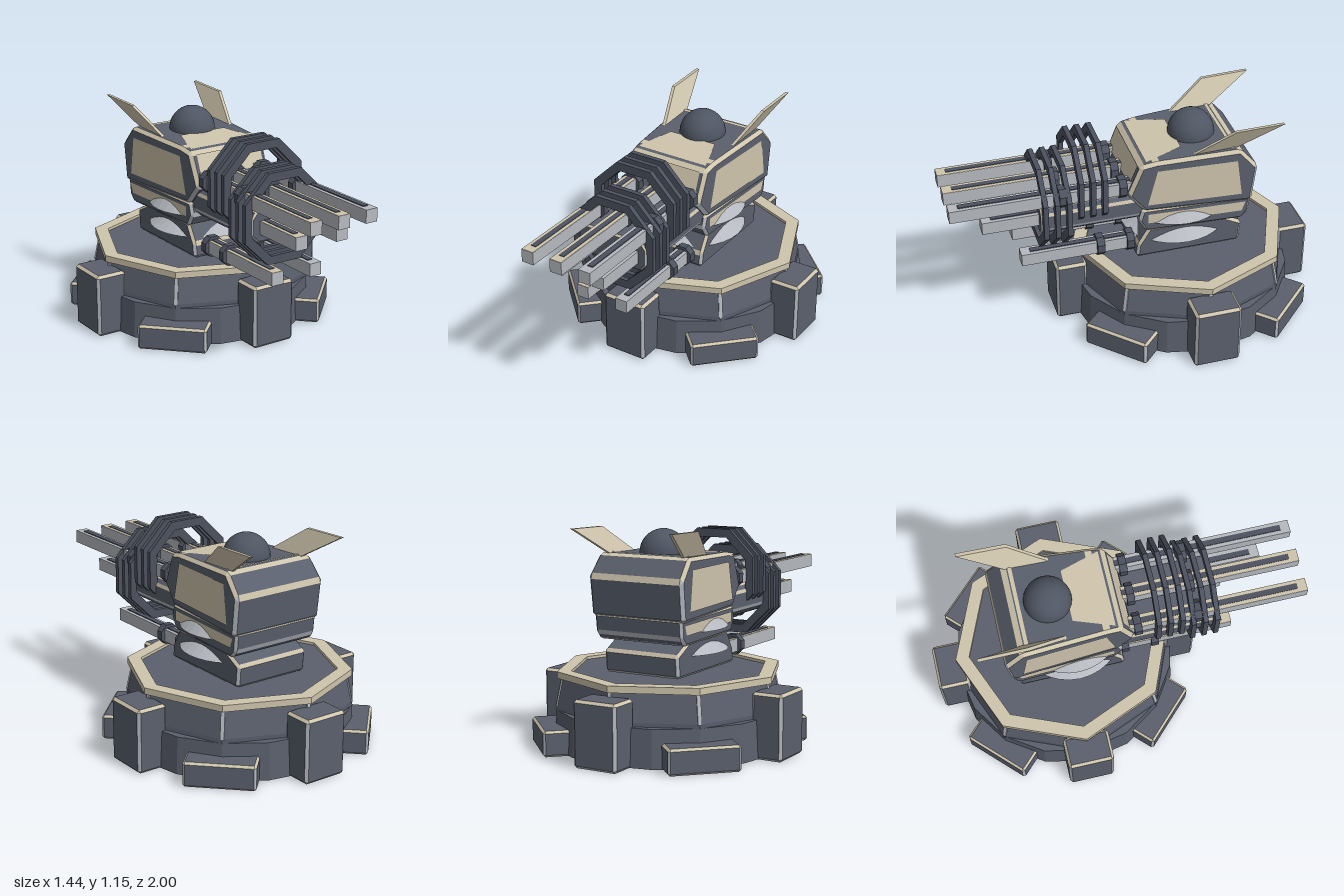
import * as THREE from 'three';

const std = (name, color, side = THREE.FrontSide) => {
  const m = new THREE.MeshStandardMaterial({ color, side });
  m.name = name;
  m.flatShading = true;
  return m;
};

export function createModel() {
  const slate = std('slate armour', 0x5a606d);
  const gunmetal = std('gunmetal', 0x4c525f);
  const sand = std('sand trim', 0xcfc5ad, THREE.DoubleSide);
  const steel = std('light steel', 0xb6bac0);
  const model = new THREE.Group();
  model.name = 'gunTurret';

  const add = (name, geo, mat, x = 0, y = 0, z = 0, parent = model) => {
    const m = new THREE.Mesh(geo, mat);
    m.name = name;
    m.position.set(x, y, z);
    parent.add(m);
    return m;
  };
  const box = (name, w, h, d, mat, x, y, z, parent) =>
    add(name, new THREE.BoxGeometry(w, h, d), mat, x, y, z, parent);

  // Convex profile (counter-clockwise) extruded along z to +-half(u); bevels get trim materials
  function bevelled(profile, half, b) {
    const n = profile.length;
    const buckets = [[], [], []];
    const P = profile.map(p => new THREE.Vector2(...p));
    const rim = [], cap = [];
    P.forEach((p, i) => {
      const toPrev = P[(i + n - 1) % n].clone().sub(p).normalize();
      const toNext = P[(i + 1) % n].clone().sub(p).normalize();
      rim.push(p.clone().addScaledVector(toPrev, b), p.clone().addScaledVector(toNext, b));
      const bis = toPrev.clone().add(toNext).normalize();
      const sin = Math.sqrt((1 - toPrev.dot(toNext)) / 2);
      cap.push(p.clone().addScaledVector(bis, b / sin));
    });
    const v = (p, s, inset) => new THREE.Vector3(p.x, p.y, s * (half(p.x) - inset));
    const face = (pts, trim, flip) => {
      if (flip) pts.reverse();
      const normal = pts[1].clone().sub(pts[0]).cross(pts[2].clone().sub(pts[0])).normalize();
      const k = trim ? (normal.y > 0.25 ? 1 : 2) : 0;
      for (let i = 1; i < pts.length - 1; i++)
        for (const q of [pts[0], pts[i], pts[i + 1]]) buckets[k].push(q.x, q.y, q.z);
    };
    for (const s of [1, -1]) {
      face(cap.map(p => v(p, s, 0)), false, s < 0);
      for (let i = 0; i < n; i++) {
        const j = (i + 1) % n;
        const a = rim[2 * i], c = rim[2 * i + 1], d = rim[2 * j];
        face([v(a, s, b), v(c, s, b), v(cap[i], s, 0)], true, s < 0);
        face([v(c, s, b), v(d, s, b), v(cap[j], s, 0), v(cap[i], s, 0)], true, s < 0);
      }
    }
    for (let i = 0; i < 2 * n; i++) {
      const a = rim[i], c = rim[(i + 1) % (2 * n)];
      face([v(a, -1, b), v(c, -1, b), v(c, 1, b), v(a, 1, b)], i % 2 === 0, false);
    }
    const g = new THREE.BufferGeometry();
    let start = 0;
    buckets.forEach((list, k) => { g.addGroup(start, list.length / 3, k); start += list.length / 3; });
    g.setAttribute('position', new THREE.Float32BufferAttribute(buckets.flat(), 3));
    g.computeVertexNormals();
    return g;
  }
  const trimmed = [slate, sand, steel];
  const rect = (w, h) => [[-w / 2, 0], [w / 2, 0], [w / 2, h], [-w / 2, h]];

  // Regular polygonal ring facing +z
  function ring(outer, inner, depth, phase) {
    const pts = r => Array.from({ length: 8 }, (_, i) => {
      const a = phase + i * Math.PI / 4;
      return new THREE.Vector2(r * Math.cos(a), r * Math.sin(a));
    });
    const s = new THREE.Shape(pts(outer));
    s.holes.push(new THREE.Path(pts(inner)));
    return new THREE.ExtrudeGeometry(s, { depth, bevelEnabled: false });
  }

  // Thin flat panel from four corners
  function panel(name, corners) {
    const g = new THREE.BufferGeometry();
    g.setAttribute('position', new THREE.Float32BufferAttribute(corners.flat(), 3));
    g.setIndex([0, 1, 2, 0, 2, 3]);
    g.computeVertexNormals();
    return add(name, g, sand);
  }

  // Base platform
  const base = new THREE.Group();
  base.name = 'base';
  base.position.z = -0.28;
  model.add(base);
  add('lowerDrum', new THREE.CylinderGeometry(0.605, 0.615, 0.2, 16), slate, 0, 0.105, 0, base);
  add('drumBand', new THREE.CylinderGeometry(0.6, 0.61, 0.025, 8), gunmetal, 0, 0.215, 0, base);
  add('upperDrum', new THREE.CylinderGeometry(0.57, 0.605, 0.165, 8), slate, 0, 0.3075, 0, base);
  add('deckRim', ring(0.6, 0.525, 0.035, 0).rotateX(-Math.PI / 2), sand, 0, 0.37, 0, base);
  for (let i = 0; i < 8; i++) {
    const arm = new THREE.Group();
    arm.name = 'baseSegment';
    arm.rotation.y = i * Math.PI / 4;
    base.add(arm);
    const seam = box('cornerSeam', 0.02, 0.15, 0.012, steel, 0, 0.295, 0.587, arm);
    seam.rotation.x = -0.21;
    if (i % 2 === 0)
      add('buttress', bevelled(rect(0.25, 0.345), () => 0.085, 0.014), trimmed, 0, 0, 0.635, arm);
    else
      add('foot', bevelled(rect(0.37, 0.135), () => 0.1, 0.012), trimmed, 0, 0, 0.605, arm);
  }

  // Turret bodies, drawn as side profiles (z, y)
  const upperHalf = z => 0.235 - 0.07 * z;
  const midHalf = z => 0.23 - 0.05 * z;
  const body = (name, profile, half, b) =>
    add(name, bevelled(profile, half, b).rotateY(-Math.PI / 2), trimmed);
  body('neck', [[-0.56, 0.4], [0.02, 0.4], [0.01, 0.48], [-0.05, 0.58], [-0.45, 0.58], [-0.57, 0.52]],
    () => 0.22, 0.014);
  body('midBody', [[-0.555, 0.57], [-0.03, 0.57], [0.01, 0.64], [-0.01, 0.71], [-0.6, 0.71], [-0.59, 0.61]],
    midHalf, 0.014);
  body('head', [[-0.6, 0.69], [-0.02, 0.7], [0.07, 0.81], [0.0, 0.985], [-0.08, 1.0], [-0.53, 1.015], [-0.625, 0.905]],
    upperHalf, 0.018);

  // Sand coloured armour panels
  for (const s of [1, -1]) {
    const side = (name, half, pts) =>
      panel(name, pts.map(([z, y]) => [s * (half(z) + 0.004), y, z]));
    side('headSidePanel', upperHalf, [[-0.085, 0.95], [-0.51, 0.955], [-0.54, 0.745], [-0.035, 0.745]]);
    side('midSidePanel', midHalf, [[-0.04, 0.68], [-0.57, 0.68], [-0.55, 0.625], [-0.04, 0.625]]);
  }
  panel('browPanel', [[-0.2, 0.86, 0.057], [0.2, 0.86, 0.057], [0.2, 0.975, 0.011], [-0.2, 0.975, 0.011]]);
  panel('roofPanel', [[-0.21, 0.996, -0.03], [0.21, 0.996, -0.03], [0.14, 1.012, -0.24], [-0.14, 1.012, -0.24]]);
  panel('roofStripe', [[-0.24, 1.018, -0.485], [0.24, 1.018, -0.485], [0.24, 1.019, -0.505], [-0.24, 1.019, -0.505]]);

  // Conical collars and sensor dome
  add('neckSkirt', new THREE.CylinderGeometry(0.19, 0.29, 0.07, 32), steel, 0, 0.535, -0.245);
  add('midSkirt', new THREE.CylinderGeometry(0.23, 0.29, 0.07, 32), steel, 0, 0.655, -0.245);
  const domeMat = std('dome slate', 0x4f5663);
  domeMat.flatShading = false;
  add('sensorDome', new THREE.SphereGeometry(0.125, 28, 18), domeMat, 0, 1.01, -0.34);

  // Swept ear fins, leaning outwards
  for (const s of [1, -1]) {
    const fin = new THREE.Shape([[-0.28, 1.0], [-0.49, 1.145], [-0.75, 1.152], [-0.5, 1.0]]
      .map(p => new THREE.Vector2(...p)));
    const g = new THREE.ExtrudeGeometry(fin, { depth: 0.018, bevelEnabled: false })
      .rotateY(-Math.PI / 2).translate(0.009, 0, 0);
    const p = g.attributes.position;
    for (let i = 0; i < p.count; i++) p.setX(i, p.getX(i) + s * (0.215 + (p.getY(i) - 1) * 0.48));
    g.computeVertexNormals();
    add('earFin', g, sand);
  }

  // Square barrels with top strips and octagonal clamps
  function barrel(x, y, tip, clamps) {
    const gun = new THREE.Group();
    gun.name = 'barrel';
    gun.position.set(x, y, 0);
    model.add(gun);
    const len = tip + 0.05;
    box('barrelTube', 0.07, 0.07, len, steel, 0, 0, tip - len / 2, gun);
    if (x <= 0) box('barrelTop', 0.068, 0.004, len, sand, 0, 0.035, tip - len / 2 - 0.001, gun);
    box('barrelSlot', 0.03, 0.006, len - 0.06, gunmetal, 0, 0.037, tip - 0.05 - (len - 0.06) / 2, gun);
    for (const z of clamps) {
      const c = new THREE.CylinderGeometry(0.06, 0.06, 0.04, 8).rotateY(Math.PI / 8).rotateX(Math.PI / 2);
      add('barrelClamp', c, gunmetal, 0, 0, z, gun);
    }
  }
  for (const x of [-0.17, 0, 0.17]) barrel(x, 0.845, 1.0, [0.09, 0.41]);
  for (const s of [-1, 1]) {
    barrel(s * 0.125, 0.71, 0.83, []);
    barrel(s * 0.12, 0.46, 0.63, [0.035, 0.2]);
  }

  // Gun housing and the two stacks of octagonal hoops
  const housing = [[-0.17, 0.63], [0.17, 0.63], [0.21, 0.67], [0.21, 0.765], [0.18, 0.8], [-0.18, 0.8], [-0.21, 0.765], [-0.21, 0.67]];
  add('gunHousing', bevelled(housing, () => 0.28, 0.01), trimmed, 0, 0, 0.25);
  const hoop = ring(0.265, 0.215, 0.026, Math.PI / 8);
  for (let i = 0; i < 3; i++) {
    add('rearHoop', hoop, gunmetal, 0, 0.845, 0.18 + i * 0.063);
    add('frontHoop', hoop, gunmetal, 0, 0.738, 0.37 + i * 0.063);
  }
  return model;
}
